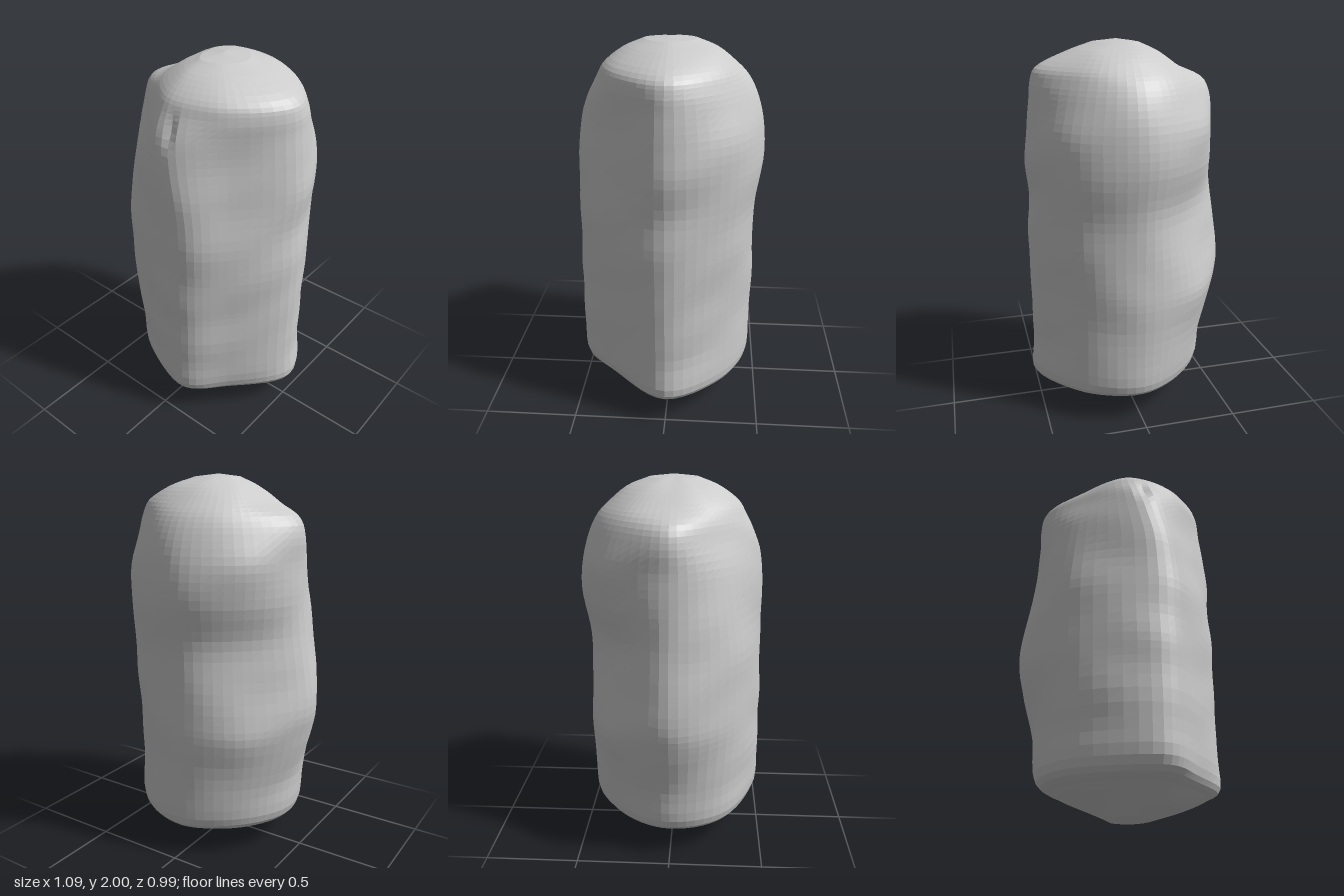
import * as THREE from 'three';

// Each row: height, then radii at +x, front-left, front, front-right, -x, back-right, back, back-left
const ROWS = [
  [0.015, .17, .15, .12, .07, .05, .07, .12, .15],
  [0.07, .34, .29, .25, .20, .19, .20, .25, .30],
  [0.125, .46, .37, .36, .33, .33, .32, .34, .39],
  [0.19, .54, .44, .475, .43, .43, .40, .445, .46],
  [0.40, .525, .46, .495, .45, .455, .43, .455, .455],
  [0.65, .53, .465, .49, .47, .515, .48, .46, .46],
  [0.80, .53, .47, .49, .475, .545, .47, .46, .47],
  [1.00, .53, .475, .485, .48, .53, .43, .45, .48],
  [1.20, .52, .47, .48, .47, .49, .41, .46, .49],
  [1.40, .53, .44, .48, .44, .475, .455, .495, .50],
  [1.56, .515, .42, .47, .41, .465, .465, .48, .49],
  [1.70, .50, .41, .435, .36, .465, .42, .45, .45],
  [1.80, .49, .40, .38, .33, .42, .37, .40, .41],
  [1.87, .45, .37, .335, .28, .27, .30, .33, .37],
  [1.94, .30, .26, .24, .18, .16, .20, .24, .28],
  [1.985, .17, .15, .13, .08, .06, .09, .13, .15],
];
const SIDES = 56, RINGS = 56;

// Point of one corner line; the front edge leans towards +x below the top
function cornerPoint(row, i) {
  const y = row[0];
  let angle = i * Math.PI / 4, r = row[i + 1];
  if (i === 2) {
    angle -= 0.19 * THREE.MathUtils.smoothstep(1.85 - y, 0, 0.6);
    r /= Math.sin(angle);
  }
  return new THREE.Vector3(r * Math.cos(angle), y, r * Math.sin(angle));
}

function boulderGeometry() {
  const lines = Array.from({ length: 8 }, (_, i) =>
    new THREE.CatmullRomCurve3(ROWS.map(row => cornerPoint(row, i)), false, 'catmullrom', 0.5));
  const pos = [0.05, 0, 0], index = [];

  // Rings of vertices, from the bottom up
  for (let j = 0; j <= RINGS; j++) {
    const ring = new THREE.CatmullRomCurve3(lines.map(l => l.getPoint(j / RINGS)), true, 'catmullrom', 0.5);
    for (let k = 0; k < SIDES; k++) {
      const p = ring.getPoint(k / SIDES);
      // Faint weathered layers and a narrow nick high on the front edge
      const a = Math.atan2(p.z, p.x);
      const ripple = 1 + 0.007 * Math.sin(p.y * 17 + 2 * Math.sin(a * 2)) * Math.sin(a * 3 + p.y * 4);
      const nick = p.z > 0 ? 0.025 * Math.exp(-((p.x - 0.04) ** 2) / 0.001 - (p.y - 1.73) ** 2 / 0.004) : 0;
      pos.push(p.x * ripple, p.y, p.z * ripple - nick);
    }
  }
  const top = pos.length / 3;
  pos.push(0.04, 2, 0);

  // Side quads and the two end fans
  const at = (j, k) => 1 + j * SIDES + k % SIDES;
  for (let k = 0; k < SIDES; k++) {
    index.push(0, at(0, k), at(0, k + 1));
    for (let j = 0; j < RINGS; j++) {
      const a = at(j, k), b = at(j, k + 1), c = at(j + 1, k + 1), d = at(j + 1, k);
      index.push(a, d, b, b, d, c);
    }
    index.push(at(RINGS, k), top, at(RINGS, k + 1));
  }
  const g = new THREE.BufferGeometry();
  g.setAttribute('position', new THREE.Float32BufferAttribute(pos, 3));
  g.setIndex(index);
  g.computeVertexNormals();
  return g;
}

export function createModel() {
  const group = new THREE.Group();
  group.name = 'standingStone';
  const stone = new THREE.Mesh(boulderGeometry(),
    new THREE.MeshStandardMaterial({ color: 0xcccccc, flatShading: true }));
  stone.name = 'boulder';
  group.add(stone);
  return group;
}
